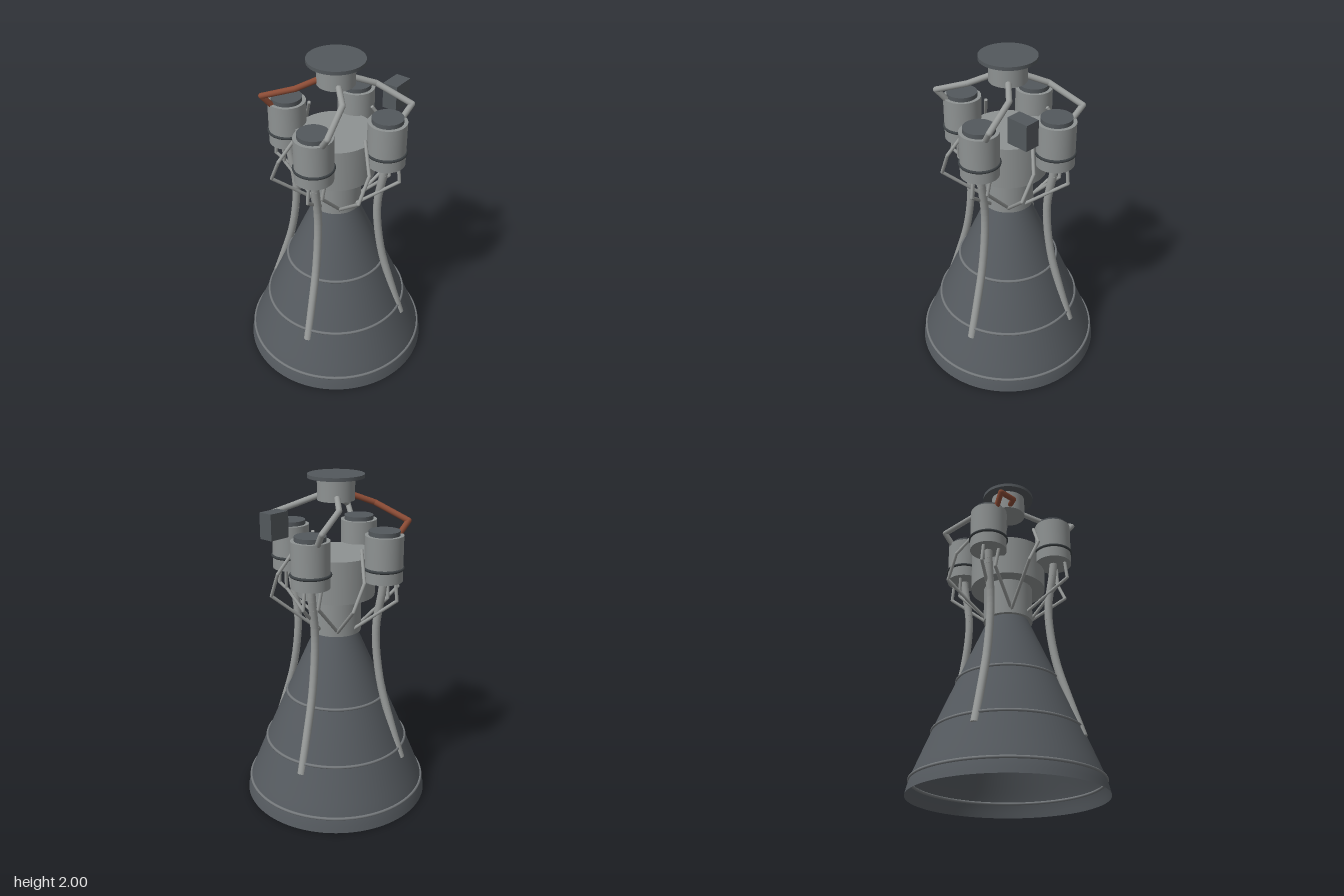
import * as THREE from 'three';
import { mergeGeometries } from 'three/addons/utils/BufferGeometryUtils.js';

const mat = (name, color, extra = {}) => {
  const m = new THREE.MeshStandardMaterial({ color, ...extra });
  m.name = name;
  return m;
};

export function createModel() {
  const nozzleGrey = mat('nozzle grey', 0x555a5f, { side: THREE.DoubleSide });
  const darkGrey = mat('dark grey', 0x53585c);
  const bodyGrey = mat('body grey', 0x8e9292);
  const pipeGrey = mat('pipe grey', 0x979a99);
  const ringGrey = mat('ring grey', 0x73777a);
  const bandGrey = mat('band grey', 0x3c4144);
  const copper = mat('copper', 0x8a4b35);

  const model = new THREE.Group();
  model.name = 'rocketEngine';

  const add = (parent, name, geometry, material) => {
    const mesh = new THREE.Mesh(geometry, material);
    mesh.name = name;
    parent.add(mesh);
    return mesh;
  };

  // Upright cylinder between two heights
  const drum = (parent, name, r, y0, y1, material, x = 0, z = 0) =>
    add(parent, name, new THREE.CylinderGeometry(r, r, y1 - y0, 64), material)
      .position.set(x, (y0 + y1) / 2, z);

  // Horizontal hoop
  const hoop = (parent, name, r, tube, y, material, x = 0, z = 0) => {
    const mesh = add(parent, name, new THREE.TorusGeometry(r, tube, 10, 80), material);
    mesh.rotation.x = Math.PI / 2;
    mesh.position.set(x, y, z);
  };

  // Round pipe with straight runs and ball elbows
  const up = new THREE.Vector3(0, 1, 0);
  const pipe = (parent, name, points, r, material) => {
    const pts = points.map(p => (p.isVector3 ? p : new THREE.Vector3(...p)));
    const parts = [];
    for (let i = 0; i < pts.length - 1; i++) {
      const dir = pts[i + 1].clone().sub(pts[i]);
      const run = new THREE.CylinderGeometry(r, r, dir.length(), 14);
      const mid = pts[i].clone().add(pts[i + 1]).multiplyScalar(0.5);
      run.applyQuaternion(new THREE.Quaternion().setFromUnitVectors(up, dir.normalize()));
      run.translate(mid.x, mid.y, mid.z);
      parts.push(run);
      if (i > 0) {
        parts.push(new THREE.SphereGeometry(r, 14, 8).translate(pts[i].x, pts[i].y, pts[i].z));
      }
    }
    add(parent, name, mergeGeometries(parts), material);
  };

  // Nozzle bell with stiffening hoops
  const bell = [
    [0.57, 0], [0.548, 0.085], [0.495, 0.22], [0.435, 0.365],
    [0.37, 0.52], [0.302, 0.675], [0.215, 0.875], [0.125, 1.08],
  ].map(([r, y]) => new THREE.Vector2(r, y));
  const bellCurve = new THREE.SplineCurve(bell).getPoints(28);
  add(model, 'nozzleBell', new THREE.LatheGeometry(bellCurve, 96), nozzleGrey);
  for (const [r, y] of [[0.549, 0.085], [0.436, 0.365], [0.303, 0.675]]) {
    hoop(model, 'nozzleHoop', r, 0.009, y, ringGrey);
  }

  // Combustion chamber and mounting head
  drum(model, 'chamberNeck', 0.15, 1.075, 1.3, bodyGrey);
  drum(model, 'chamberDrum', 0.23, 1.3, 1.55, bodyGrey);
  drum(model, 'headHub', 0.108, 1.855, 1.98, bodyGrey);
  drum(model, 'headPlate', 0.163, 1.98, 2.0, darkGrey);

  // Control box
  add(model, 'controlBox', new THREE.BoxGeometry(0.135, 0.15, 0.09), darkGrey)
    .position.set(0.3, 1.73, 0.197);

  // Exhaust pipe: radius and height in the plane through the canister
  const angle = Math.atan2(0.075, 0.295);
  const exhaust = new THREE.CatmullRomCurve3(
    [[0.305, 1.43], [0.297, 1.35], [0.266, 1.15], [0.268, 1.0],
      [0.305, 0.76], [0.37, 0.54], [0.449, 0.3]]
      .map(([r, y]) => new THREE.Vector3(r * Math.sin(angle), y, r * Math.cos(angle)))
  ).getPoints(22);

  // Four pump units, repeated by quarter turns
  for (let i = 0; i < 4; i++) {
    const unit = new THREE.Group();
    unit.name = 'pumpUnit';
    unit.rotation.y = i * Math.PI / 2;
    model.add(unit);

    const x = 0.075, z = 0.295;
    drum(unit, 'pumpCanister', 0.11, 1.42, 1.685, bodyGrey, x, z);
    drum(unit, 'pumpCap', 0.089, 1.685, 1.71, darkGrey, x, z);
    hoop(unit, 'pumpBand', 0.11, 0.009, 1.495, bandGrey, x, z);

    pipe(unit, 'exhaustPipe', exhaust, 0.024, pipeGrey);

    // Feed lines under the canister
    pipe(unit, 'outerFeedLine',
      [[0.095, 1.43, 0.365], [0.095, 1.31, 0.38], [0, 1.11, 0.145]], 0.01, pipeGrey);
    pipe(unit, 'innerFeedLine',
      [[0.14, 1.43, 0.275], [0.125, 1.3, 0.29], [0.1, 1.11, 0.105]], 0.01, pipeGrey);

    // Bent line beside the drum
    pipe(unit, 'sideLine',
      [[-0.07, 1.62, 0.25], [-0.145, 1.46, 0.335], [-0.218, 1.31, 0.32], [-0.1, 1.1, 0.1]],
      0.01, pipeGrey);

    // Supply arm from the head; one is copper
    pipe(unit, 'supplyArm',
      [[0.07, 1.88, 0.07], [0.16, 1.835, 0.155], [0.215, 1.75, 0.355], [0.16, 1.675, 0.33]],
      0.017, i === 2 ? copper : pipeGrey);
  }

  return model;
}
